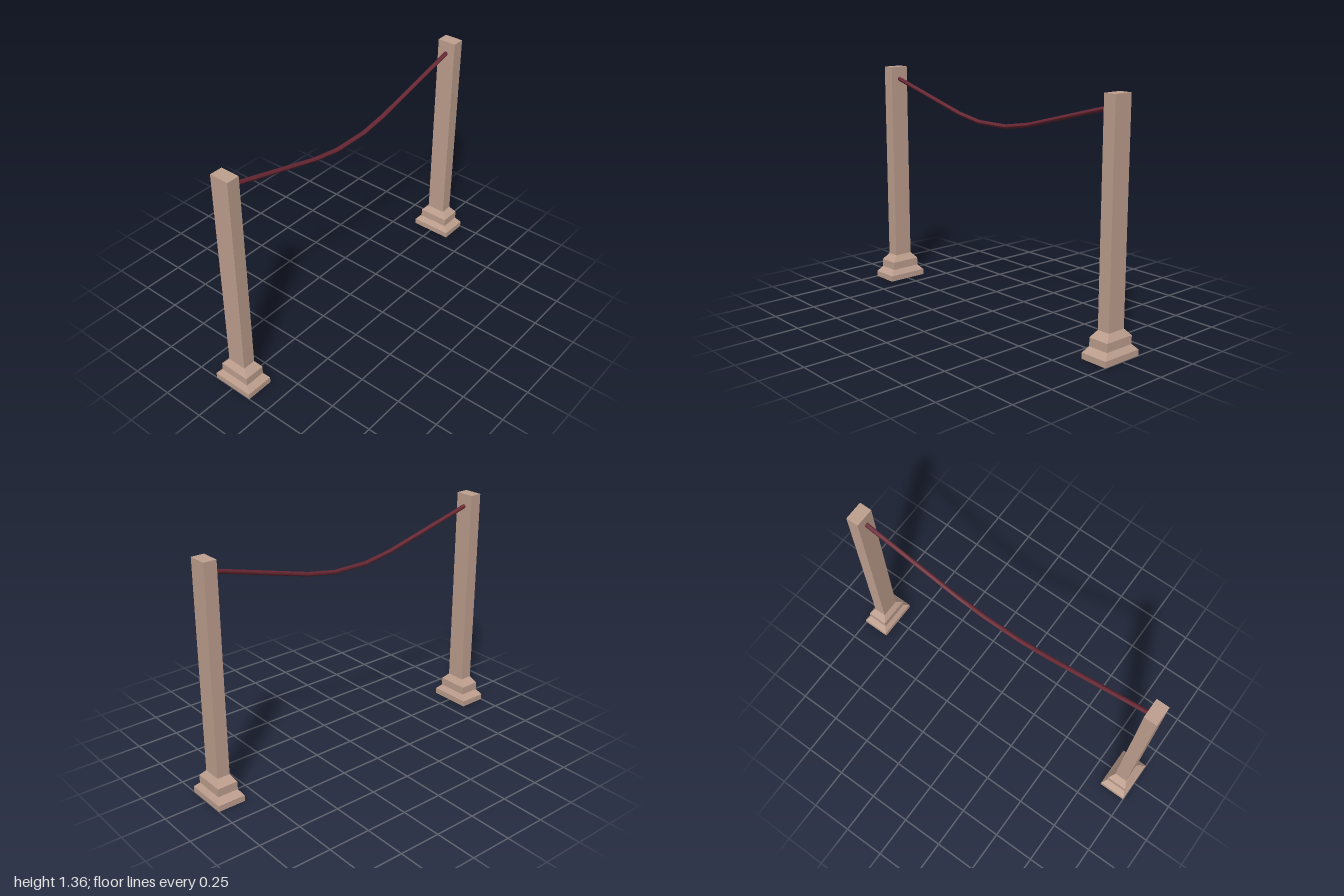
import * as THREE from 'three';

const stone = new THREE.MeshStandardMaterial({ color: 0xbe9f8e });
stone.name = 'warm stone';
const maroon = new THREE.MeshStandardMaterial({ color: 0x672733 });
maroon.name = 'maroon rope';

// Stepped post: a four-sided lathe, squashed to a rectangular plan
function postGeometry() {
  // [half depth, height]
  const profile = [
    [0, 0], [0.125, 0], [0.125, 0.035], [0.093, 0.067], [0.093, 0.115],
    [0.057, 0.153], [0.057, 1.36], [0, 1.36],
  ].map(([d, y]) => new THREE.Vector2(d * Math.SQRT2, y));
  const geometry = new THREE.LatheGeometry(profile, 4, Math.PI / 4)
    .scale(0.656, 1, 1)
    .toNonIndexed();
  geometry.computeVertexNormals();
  return geometry;
}

// Sagging rope: a cylinder along x whose rings are moved to the sag points
function ropeGeometry() {
  const half = [[0.89, 1.288], [0.29, 1.13], [0.11, 1.1]];
  const points = [...half.map(([x, y]) => [-x, y]), ...half.slice().reverse()];
  const spans = points.length - 1;
  const geometry = new THREE.CylinderGeometry(0.013, 0.013, 1, 8, spans).rotateZ(-Math.PI / 2);
  const pos = geometry.attributes.position;
  for (let i = 0; i < pos.count; i++) {
    const [x, y] = points[Math.round((pos.getX(i) + 0.5) * spans)];
    pos.setXYZ(i, x, y + pos.getY(i), pos.getZ(i));
  }
  geometry.computeVertexNormals();
  return geometry;
}

export function createModel() {
  const model = new THREE.Group();
  model.name = 'ropeBarrier';

  const postShape = postGeometry();
  for (const [name, side] of [['leftPost', 1], ['rightPost', -1]]) {
    const post = new THREE.Mesh(postShape, stone);
    post.name = name;
    post.position.x = side * 0.918;
    model.add(post);
  }

  const rope = new THREE.Mesh(ropeGeometry(), maroon);
  rope.name = 'rope';
  model.add(rope);
  return model;
}
